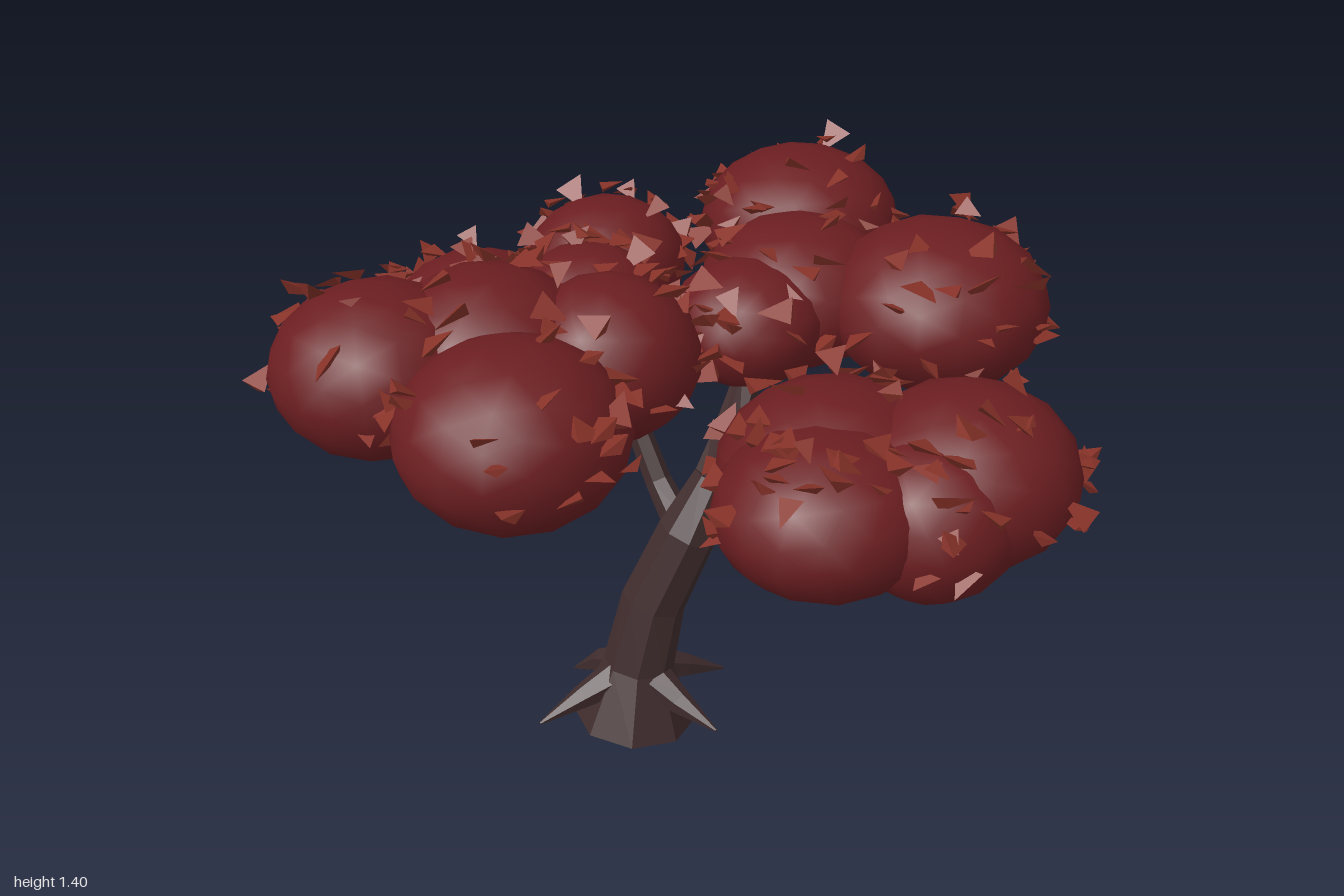
import * as THREE from 'three';
import { mergeGeometries } from 'three/addons/utils/BufferGeometryUtils.js';

const mat = (name, color, options) => {
  const m = new THREE.MeshStandardMaterial({ color, ...options });
  m.name = name;
  return m;
};

// Small seeded generator for the leaf scatter
let seed = 7;
const rand = () => {
  seed = (seed * 16807) % 2147483647;
  return seed / 2147483647;
};

// Faceted tapering limb through [x, y, z, radius] stations, open at its root and closed at its tip
function limb(stations, sides) {
  const pts = stations.map(s => new THREE.Vector3(s[0], s[1], s[2]));
  const last = pts.length - 1;
  const whole = pts[last].clone().sub(pts[0]).normalize();
  const ref = Math.abs(whole.x) > 0.75 ? new THREE.Vector3(0, 0, 1) : new THREE.Vector3(1, 0, 0);
  const pos = [], idx = [];
  pts.forEach((p, i) => {
    const t = pts[Math.min(i + 1, last)].clone().sub(pts[Math.max(i - 1, 0)]).normalize();
    const u = new THREE.Vector3().crossVectors(t, ref).normalize();
    const v = new THREE.Vector3().crossVectors(t, u);
    for (let j = 0; j < sides; j++) {
      const a = (j / sides) * Math.PI * 2;
      const q = p.clone().addScaledVector(u, Math.cos(a) * stations[i][3])
        .addScaledVector(v, Math.sin(a) * stations[i][3]);
      pos.push(q.x, q.y, q.z);
    }
  });
  const tip = pos.length / 3;
  pos.push(...pts[last].toArray());
  for (let j = 0; j < sides; j++) {
    const k = (j + 1) % sides;
    for (let i = 0; i < last; i++) {
      const a = i * sides, b = a + sides;
      idx.push(a + j, a + k, b + j, a + k, b + k, b + j);
    }
    idx.push(tip, last * sides + j, last * sides + k);
  }
  const g = new THREE.BufferGeometry();
  g.setAttribute('position', new THREE.Float32BufferAttribute(pos, 3));
  g.setIndex(idx);
  const flat = g.toNonIndexed();
  flat.computeVertexNormals();
  return flat;
}

// Foliage clumps: centre x, y, z, horizontal radius, vertical radius
const CLUMPS = [
  [-0.73, 1.145, -0.43, 0.265, 0.21],
  [-0.50, 1.14, -0.30, 0.27, 0.225],
  [-0.67, 1.12, 0.00, 0.28, 0.22],
  [-0.29, 1.135, -0.10, 0.23, 0.205],
  [-0.26, 1.01, -0.65, 0.25, 0.20],
  [0.15, 1.08, -0.61, 0.22, 0.175],
  [-0.08, 1.07, -0.42, 0.21, 0.18],
  [-0.09, 1.0, -0.25, 0.17, 0.16],
  [0.71, 1.09, -0.41, 0.285, 0.21],
  [0.44, 1.05, -0.16, 0.27, 0.20],
  [0.22, 1.04, -0.13, 0.21, 0.165],
  [0.62, 1.065, 0.18, 0.30, 0.22],
  [0.03, 0.88, 0.36, 0.295, 0.22],
  [-0.12, 0.88, 0.47, 0.275, 0.20],
  [0.22, 0.90, 0.62, 0.285, 0.225],
  [0.06, 0.86, 0.65, 0.22, 0.205],
];

function insideAnother(p, own) {
  return CLUMPS.some(([x, y, z, r, h], i) => i !== own &&
    ((p.x - x) / r) ** 2 + ((p.y - y) / h) ** 2 + ((p.z - z) / r) ** 2 < 0.97);
}

export function createModel() {
  const model = new THREE.Group();
  const bark = mat('dark bark', 0x402c2d, { flatShading: true, side: THREE.DoubleSide });
  const foliage = mat('deep red foliage', 0x6c1e21);
  const leafRed = mat('rust red leaf', 0x873228, { flatShading: true });

  const add = (name, geometry, material) => {
    const m = new THREE.Mesh(geometry, material);
    m.name = name;
    model.add(m);
    return m;
  };

  // Leaning trunk with a flared foot
  add('trunk', limb([
    [-0.26, 0.017, -0.08, 0.165], [-0.24, 0.19, -0.08, 0.096], [-0.195, 0.38, -0.065, 0.087],
    [-0.12, 0.59, -0.008, 0.08], [-0.04, 0.73, 0.01, 0.055],
  ], 8), bark);

  // Branches reaching into each foliage group
  const branches = {
    sideBranch: [[-0.06, 0.69, 0.005, 0.055], [0.03, 0.8, -0.015, 0.045], [0.16, 0.91, -0.07, 0.038], [0.3, 1, -0.14, 0.03]],
    frontBranch: [[-0.1, 0.6, -0.02, 0.04], [-0.06, 0.64, 0.12, 0.034], [-0.02, 0.675, 0.28, 0.03], [0, 0.78, 0.4, 0.025]],
    backBranch: [[-0.12, 0.58, -0.02, 0.045], [-0.1, 0.68, -0.14, 0.035], [-0.09, 0.86, -0.26, 0.03], [-0.08, 1, -0.36, 0.025]],
  };
  for (const [name, path] of Object.entries(branches)) add(name, limb(path, 6), bark);

  // Spiky roots around the foot
  const rootTips = [[-0.52, 0.08, -0.17], [0, 0.08, 0], [-0.22, 0.1, 0.2], [-0.27, 0.05, -0.32]];
  for (const [x, y, z] of rootTips) {
    const cx = -0.245, cz = -0.08;
    add('root', limb([
      [cx + (x - cx) * 0.15, 0.17, cz + (z - cz) * 0.15, 0.055],
      [cx + (x - cx) * 0.55, 0.13, cz + (z - cz) * 0.55, 0.034],
      [x, y, z, 0.004],
    ], 6), bark);
  }

  // Smooth rounded clumps with flat leaf flakes hovering over their upper sides
  const ball = new THREE.IcosahedronGeometry(1, 2);
  const flake = new THREE.ConeGeometry(0.042, 0.08, 3).toNonIndexed().scale(1, 1, 0.4).rotateX(Math.PI / 2);
  const leaves = [];
  CLUMPS.forEach(([x, y, z, r, h], i) => {
    const clump = add('foliageClump', ball, foliage);
    clump.position.set(x, y, z);
    clump.scale.set(r, h, r);
    clump.rotation.y = i * 1.3;

    for (let n = 0; n < 36; n++) {
      const up = -0.25 + 1.2 * rand(), a = rand() * Math.PI * 2;
      const s = Math.sqrt(1 - up * up) * r * 1.02;
      const lift = 1.02 + rand() * 0.14;
      const p = new THREE.Vector3(x + Math.cos(a) * s, y + up * h * lift, z + Math.sin(a) * s);
      const turn = new THREE.Euler(rand() * 1.4 - 0.7, rand() * 6.28, rand() * 1.4 - 0.7, 'YXZ');
      const size = 0.7 + rand() * 0.5;
      if (insideAnother(p, i) || Math.abs(p.x) > 0.95) continue;
      const m = new THREE.Matrix4().compose(p, new THREE.Quaternion().setFromEuler(turn),
        new THREE.Vector3(size, size, size));
      leaves.push(flake.clone().applyMatrix4(m));
    }
  });
  add('looseLeaves', mergeGeometries(leaves), leafRed);

  return model;
}
